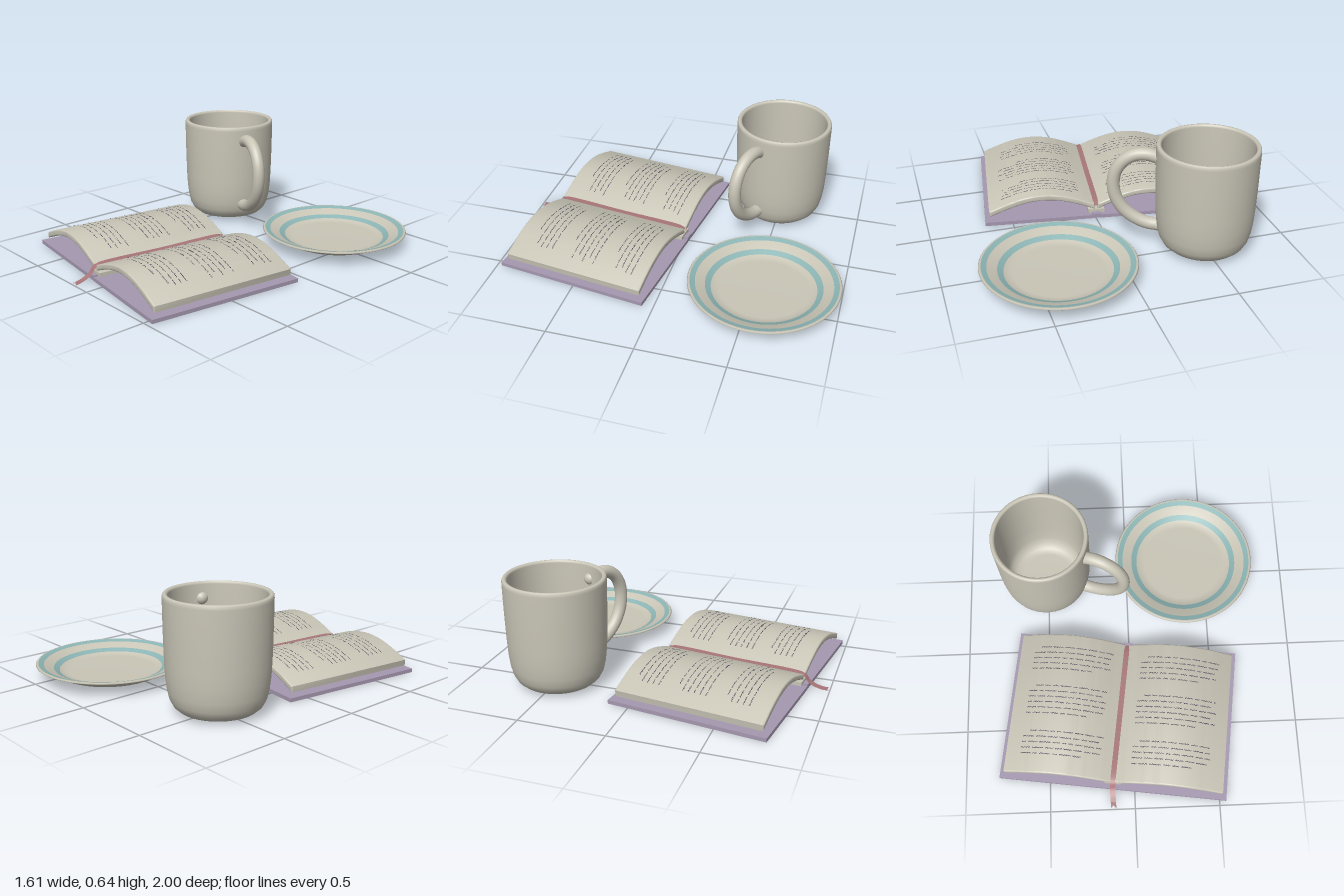
import * as THREE from 'three';
import { toCreasedNormals } from 'three/addons/utils/BufferGeometryUtils.js';

const mat = (name, color, side = THREE.FrontSide) => {
  const m = new THREE.MeshStandardMaterial({ color, side });
  m.name = name;
  return m;
};

const add = (parent, name, geometry, material, x = 0, y = 0, z = 0) => {
  const mesh = new THREE.Mesh(geometry, material);
  mesh.name = name;
  mesh.position.set(x, y, z);
  parent.add(mesh);
  return mesh;
};

const lathe = (pts, segments = 64) =>
  new THREE.LatheGeometry(pts.map(([r, y]) => new THREE.Vector2(r, y)), segments);

// Flat strip of given half width following points [x, y, z], spread along the (nx, nz) direction
function strip(points, half, nx, nz, pos, idx) {
  const base = pos.length / 3;
  points.forEach(([x, y, z], i) => {
    pos.push(x - nx * half, y, z - nz * half, x + nx * half, y, z + nz * half);
    if (i) {
      const a = base + 2 * i - 2;
      idx.push(a, a + 2, a + 1, a + 1, a + 2, a + 3);
    }
  });
}

function toGeometry(pos, idx) {
  const g = new THREE.BufferGeometry();
  g.setAttribute('position', new THREE.Float32BufferAttribute(pos, 3));
  g.setIndex(idx);
  g.computeVertexNormals();
  return g;
}

// Height of the arched page surface at distance x from the spine
const PAGE_W = 0.65;
const pageTop = (x) => 0.076 + 0.088 * Math.sin(Math.PI * Math.min(1, Math.abs(x) / PAGE_W));

function createMug(cream) {
  const mug = new THREE.Group();
  mug.name = 'mug';
  // Outer wall, rounded rim, inner wall and floor in one profile
  add(mug, 'mugBody', lathe([
    [0, 0.015], [0.19, 0.015], [0.212, 0.022], [0.238, 0.045], [0.257, 0.08], [0.269, 0.13],
    [0.277, 0.2], [0.281, 0.28], [0.285, 0.45], [0.287, 0.615], [0.286, 0.63], [0.281, 0.638],
    [0.272, 0.64], [0.262, 0.636], [0.258, 0.625], [0.256, 0.45], [0.252, 0.25], [0.245, 0.13],
    [0.23, 0.08], [0.2, 0.052], [0.16, 0.045], [0, 0.045],
  ]), cream);
  // Ear-shaped handle with round ends
  const pts = [[0.275, 0.548], [0.33, 0.563], [0.4, 0.558], [0.465, 0.52], [0.508, 0.455],
    [0.522, 0.38], [0.508, 0.295], [0.462, 0.215], [0.395, 0.16], [0.325, 0.13], [0.268, 0.122]]
    .map(([d, y]) => new THREE.Vector3(d, y, 0));
  add(mug, 'handle', new THREE.TubeGeometry(new THREE.CatmullRomCurve3(pts), 64, 0.037, 20), cream);
  for (const p of [pts[0], pts[pts.length - 1]]) {
    add(mug, 'handleEnd', new THREE.SphereGeometry(0.038, 20, 14), cream, p.x, p.y, 0);
  }
  mug.position.set(-0.505, 0, -0.49);
  mug.rotation.y = -0.382;
  return mug;
}

function createPlate(cream, teal) {
  const plate = new THREE.Group();
  plate.name = 'plate';
  const upper = [[0.43, 0.09], [0.42, 0.089], [0.39, 0.08], [0.333, 0.057], [0.3, 0.042],
    [0.275, 0.034], [0.25, 0.031], [0, 0.03]];
  add(plate, 'plateBody', lathe([
    [0, 0.013], [0.27, 0.013], [0.292, 0.018], [0.32, 0.03], [0.365, 0.054], [0.4, 0.07],
    [0.43, 0.08], [0.435, 0.084], ...upper,
  ], 96), cream);
  // Painted rings lying just above the plate surface
  const ring = (a, b) => upper.slice(a, b).map(([r, y]) => [r, y + 0.002]);
  add(plate, 'rimRing', lathe(ring(1, 3), 96), teal);
  add(plate, 'innerRing', lathe(ring(3, 5), 96), teal);
  plate.position.set(0.37, 0, -0.565);
  return plate;
}

// One arched block of pages, side = -1 or 1
function pageGeometry(side) {
  const top = [], bottom = [];
  for (let i = 0; i <= 28; i++) {
    const x = 0.012 + (PAGE_W - 0.012) * i / 28;
    top.push(new THREE.Vector2(side * x, pageTop(x)));
    bottom.unshift(new THREE.Vector2(side * (x - 0.004), pageTop(x) - 0.036));
  }
  const g = new THREE.ExtrudeGeometry(new THREE.Shape([...top, ...bottom]), {
    depth: 0.844, bevelEnabled: true, bevelSize: 0.008, bevelThickness: 0.008,
    bevelOffset: -0.008, bevelSegments: 3,
  });
  g.translate(0, 0, -0.422);
  return toCreasedNormals(g, 0.7);
}

// Rows of wavy pen strokes broken into words
function writingGeometry(side, seed) {
  const rand = () => (seed = (seed * 16807) % 2147483647) / 2147483647;
  const pos = [], idx = [];
  const left = side < 0 ? -0.56 : 0.095;
  const right = side < 0 ? -0.075 : 0.575;
  for (const [start, rows] of [[-0.345, 5], [-0.1, 6], [0.18, 5]]) {
    for (let r = 0; r < rows; r++) {
      const z = start + r * 0.034;
      let x = left + (r === 0 ? 0.04 : 0);
      const end = right - (r === rows - 1 ? 0.12 : rand() * 0.02);
      while (x < end - 0.015) {
        const len = Math.min(0.025 + rand() * 0.045, end - x);
        const n = Math.max(3, Math.round(len / 0.005));
        const points = [];
        for (let i = 0; i <= n; i++) {
          const px = x + len * i / n;
          points.push([px, pageTop(px) + 0.003, z + (i % 2 ? 1 : -1) * (0.001 + rand() * 0.003)]);
        }
        strip(points, 0.002, 0, -1, pos, idx);
        x += len + 0.011;
      }
    }
  }
  return toGeometry(pos, idx);
}

function createBook(cream, purple, ink, rose) {
  const book = new THREE.Group();
  book.name = 'book';
  // Cover boards and spine
  for (const s of [-1, 1]) {
    add(book, s < 0 ? 'rightCover' : 'leftCover',
      new THREE.BoxGeometry(0.65, 0.022, 0.918), purple, s * 0.3515, 0.011, 0);
  }
  add(book, 'spine', new THREE.BoxGeometry(0.056, 0.028, 0.918), purple, 0, 0.016, 0);
  add(book, 'binding', new THREE.BoxGeometry(0.1, 0.024, 0.86), cream, 0, 0.033, 0);
  // Arched pages with handwriting
  for (const s of [-1, 1]) {
    add(book, s < 0 ? 'rightPages' : 'leftPages', pageGeometry(s), cream);
    add(book, s < 0 ? 'rightWriting' : 'leftWriting', writingGeometry(s, 77 + s * 40), ink);
  }
  // Ribbon marker lying in the crease and falling over the front edge
  const path = new THREE.CatmullRomCurve3([
    [0, 0.075, -0.425], [0, 0.084, -0.39], [0, 0.084, 0], [0, 0.084, 0.4], [0, 0.074, 0.435],
    [0.002, 0.04, 0.462], [0.008, 0.02, 0.5], [0.014, 0.01, 0.535],
  ].map((p) => new THREE.Vector3(...p)));
  for (const dy of [0, -0.006]) {
    const pos = [], idx = [];
    strip(path.getSpacedPoints(60).map((p) => [p.x, p.y + dy, p.z]), 0.016, 1, 0, pos, idx);
    idx.reverse();
    // Forked tail
    const b = pos.length / 3, y = 0.01 + dy;
    pos.push(-0.002, y, 0.535, 0.03, y, 0.535, 0.016, y, 0.55, 0.006, y - 0.003, 0.572, 0.036, y - 0.003, 0.57);
    idx.push(b, b + 3, b + 2, b, b + 2, b + 1, b + 1, b + 2, b + 4);
    add(book, dy ? 'ribbonUnderside' : 'ribbon', toGeometry(pos, idx), rose);
  }
  book.position.set(-0.069, 0, 0.427);
  book.rotation.y = -0.138;
  return book;
}

export function createModel() {
  const cream = mat('cream', 0xc9c6b7);
  const purple = mat('mutedPurple', 0xa598b0);
  const teal = mat('softTeal', 0x8cb4b4, THREE.DoubleSide);
  const ink = mat('ink', 0x4c485c, THREE.DoubleSide);
  const rose = mat('dustyRose', 0xa87678, THREE.DoubleSide);
  const model = new THREE.Group();
  model.name = 'readingTable';
  model.add(createMug(cream), createPlate(cream, teal), createBook(cream, purple, ink, rose));
  return model;
}
